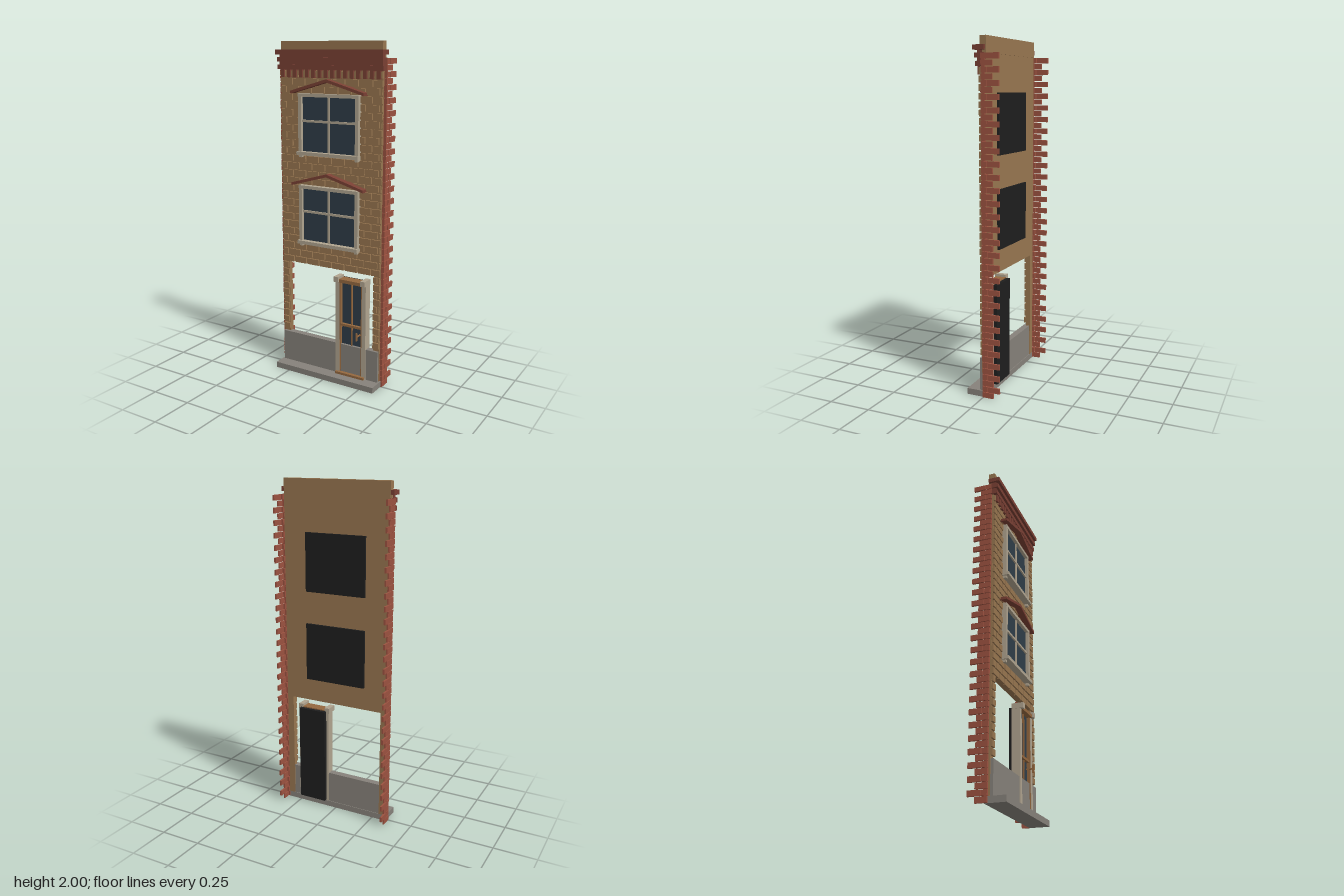
import * as THREE from 'three';
import { mergeGeometries } from 'three/addons/utils/BufferGeometryUtils.js';

const mat = (name, color) => new THREE.MeshStandardMaterial({ name, color });

export function createModel() {
  const root = new THREE.Group();
  root.name = 'townhouseFacade';
  const tan = mat('tanBrick', 0x987650);
  const red = mat('redBrick', 0x9c5240);
  const darkRed = mat('darkRedTrim', 0x7a4034);
  const stone = mat('greyStone', 0x86817a);
  const trim = mat('paleTrim', 0xb0a48f);
  const glass = mat('darkGlass', 0x2f3d48);
  const wood = mat('doorWood', 0x94683f);
  const black = mat('blackBacking', 0x1e1e1e);

  // Box geometry given by its limits on each axis
  const box = (x0, x1, y0, y1, z0, z1) =>
    new THREE.BoxGeometry(x1 - x0, y1 - y0, z1 - z0)
      .translate((x0 + x1) / 2, (y0 + y1) / 2, (z0 + z1) / 2);
  const add = (parent, name, material, ...geos) => {
    const mesh = new THREE.Mesh(geos.length > 1 ? mergeGeometries(geos) : geos[0], material);
    mesh.name = name;
    parent.add(mesh);
    return mesh;
  };

  // Main wall, ground floor piers and parapet
  add(root, 'wall', tan,
    box(-0.335, 0.335, 0.69, 1.93, -0.016, 0.012),
    box(-0.335, -0.295, 0.035, 0.69, -0.016, 0.012),
    box(0.295, 0.335, 0.035, 0.69, -0.016, 0.012));
  add(root, 'parapet', tan, box(-0.332, 0.332, 1.91, 2, -0.02, 0.017));

  // Running-bond bricks, clipped around windows and the shop opening
  const windowBases = [0.82, 1.355];
  const bricks = [];
  const pitchY = 0.0445, pitchX = 0.088, gap = 0.009;
  for (let r = 0; r < 36; r++) {
    const y0 = 0.243 + r * pitchY, y1 = y0 + pitchY - gap;
    let spans = [[-0.334, 0.334]];
    if (y0 < 0.685) spans = [[-0.334, -0.295], [0.295, 0.334]];
    else if (windowBases.some(b => y1 > b && y0 < b + 0.355)) spans = [[-0.334, -0.2], [0.2, 0.334]];
    for (const [s0, s1] of spans) {
      for (let x = -0.334 - (r % 2) * pitchX / 2; x < s1; x += pitchX) {
        const a = Math.max(x, s0), b = Math.min(x + pitchX - gap, s1);
        if (b - a > 0.008) bricks.push(box(a, b, y0, y1, 0.011, 0.023));
      }
    }
  }
  add(root, 'wallBricks', tan, ...bricks);

  // Toothed brick edges on both sides
  for (const s of [-1, 1]) {
    const teeth = [];
    const tooth = (a, b, y, z0, z1) =>
      teeth.push(box(Math.min(s * a, s * b), Math.max(s * a, s * b), y, y + 0.031, z0, z1));
    for (let i = 0; i < 27; i++) {
      const y = 0.037 + i * 0.0708;
      tooth(0.343, 0.354, y, -0.104, -0.033);
      tooth(0.334, 0.352, y, -0.03, 0.003);
      tooth(0.343, 0.352, y - 0.0354, -0.064, 0.003);
      tooth(0.334, 0.344, y - 0.0354, -0.018, 0.003);
    }
    add(root, s > 0 ? 'leftBrickEdge' : 'rightBrickEdge', red, ...teeth);
    add(root, s > 0 ? 'leftEdgeCore' : 'rightEdgeCore', red,
      box(s > 0 ? 0.334 : -0.347, s > 0 ? 0.347 : -0.334, 0.01, 1.9, -0.016, 0));
  }

  // Stepped cornice with dentils
  const cornice = [
    box(-0.35, 0.35, 1.926, 1.952, -0.015, 0.052),
    box(-0.345, 0.345, 1.885, 1.911, -0.012, 0.043),
    box(-0.345, 0.345, 1.842, 1.868, 0, 0.036),
    box(-0.338, 0.338, 1.842, 1.93, 0, 0.028),
  ];
  for (let i = 0; i < 16; i++) {
    const x = -0.315 + i * 0.042;
    cornice.push(box(x - 0.011, x + 0.011, 1.797, 1.843, 0.01, 0.033));
  }
  add(root, 'cornice', darkRed, ...cornice);

  // Windows with sills, glazing bars and shallow gables
  windowBases.forEach((b, i) => {
    const g = new THREE.Group();
    g.name = i ? 'upperWindow' : 'lowerWindow';
    g.position.y = b;
    root.add(g);
    add(g, 'windowGlass', glass, box(-0.185, 0.185, 0.01, 0.345, 0.01, 0.026));
    add(g, 'windowFrame', trim,
      box(-0.2, -0.179, 0.01, 0.352, 0.01, 0.045),
      box(0.179, 0.2, 0.01, 0.352, 0.01, 0.045),
      box(-0.2, 0.2, 0.335, 0.354, 0.01, 0.046),
      box(-0.006, 0.006, 0.02, 0.34, 0.02, 0.034),
      box(-0.18, 0.18, 0.19, 0.203, 0.02, 0.036));
    add(g, 'windowSill', trim,
      box(-0.205, 0.205, 0, 0.02, 0.01, 0.06),
      box(-0.197, -0.178, -0.015, 0.001, 0.01, 0.042),
      box(0.178, 0.197, -0.015, 0.001, 0.01, 0.042));
    add(g, 'windowBacking', black, box(-0.19, 0.19, 0.005, 0.348, -0.029, -0.015));
    const shape = new THREE.Shape();
    [[-0.242, 0.352], [0, 0.42], [0.242, 0.352], [0.242, 0.368], [0, 0.437], [-0.242, 0.368]]
      .forEach(([x, y], k) => k ? shape.lineTo(x, y) : shape.moveTo(x, y));
    add(g, 'windowGable', darkRed,
      new THREE.ExtrudeGeometry(shape, { depth: 0.05, bevelEnabled: false }).translate(0, 0, 0.012));
  });

  // Stone step and low shopfront wall
  add(root, 'baseStep', stone, box(-0.342, 0.342, 0, 0.035, -0.016, 0.103));
  add(root, 'shopfrontWall', stone, box(-0.332, 0.332, 0.034, 0.226, -0.012, 0.028));

  // Door
  const door = new THREE.Group();
  door.name = 'door';
  root.add(door);
  add(door, 'doorBacking', black, box(0.065, 0.24, 0.04, 0.632, -0.037, -0.015));
  add(door, 'doorGlass', glass, box(0.075, 0.232, 0.2, 0.622, -0.016, 0.012));
  for (const [x0, x1] of [[0.049, 0.076], [0.228, 0.254]]) {
    add(door, 'doorPost', trim, box(x0, x1, 0.036, 0.625, -0.016, 0.035));
    add(door, 'postCap', trim, box(x0 - 0.002, x1 + 0.002, 0.62, 0.652, -0.016, 0.054));
  }
  add(door, 'doorLintel', wood, box(0.07, 0.235, 0.618, 0.638, -0.016, 0.045));
  add(door, 'doorBars', wood,
    box(0.075, 0.083, 0.04, 0.62, 0, 0.032),
    box(0.221, 0.229, 0.04, 0.62, 0, 0.032),
    box(0.149, 0.156, 0.226, 0.62, 0, 0.022),
    box(0.08, 0.225, 0.344, 0.358, 0, 0.03),
    box(0.055, 0.25, 0.036, 0.05, 0, 0.05));
  add(door, 'doorHandle', wood,
    box(0.203, 0.21, 0.28, 0.328, 0.05, 0.062),
    box(0.204, 0.209, 0.3, 0.308, 0.01, 0.052));

  return root;
}
